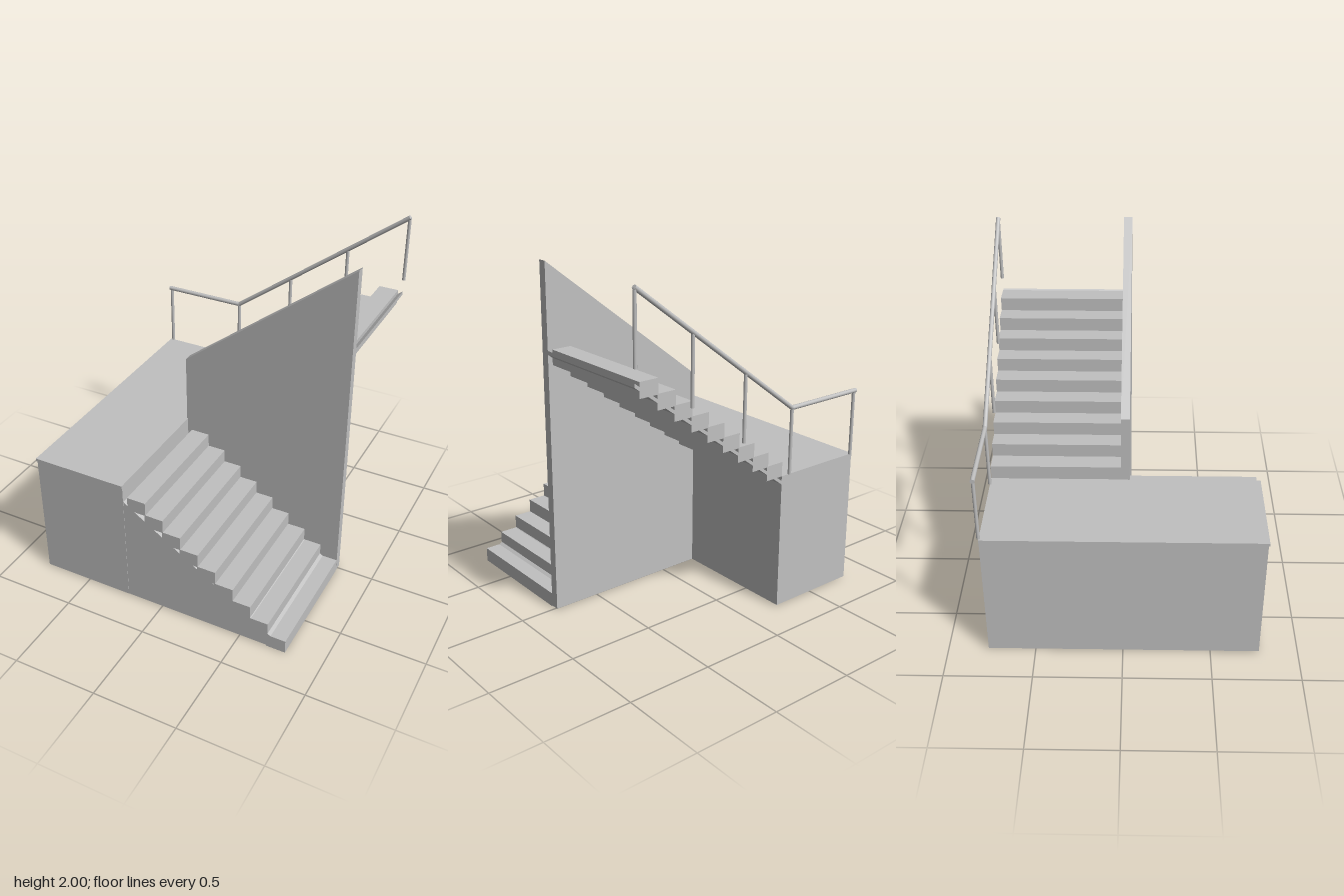
import * as THREE from 'three';

export function createModel() {
  const model = new THREE.Group();
  model.name = 'staircase';
  const grey = new THREE.MeshStandardMaterial({ color: 0xc0c0c0 });
  grey.name = 'plain grey';

  function add(name, geometry, parent = model) {
    const mesh = new THREE.Mesh(geometry, grey);
    mesh.name = name;
    parent.add(mesh);
    return mesh;
  }
  // Box given by its lower and upper limits
  function box(name, x0, x1, y0, y1, z0, z1, parent) {
    const g = new THREE.BoxGeometry(x1 - x0, y1 - y0, z1 - z0);
    g.translate((x0 + x1) / 2, (y0 + y1) / 2, (z0 + z1) / 2);
    return add(name, g, parent);
  }
  // Side profile in x and y, extruded from z0 to z1
  function slab(name, points, z0, z1) {
    const shape = new THREE.Shape(points.map(([x, y]) => new THREE.Vector2(x, y)));
    const g = new THREE.ExtrudeGeometry(shape, { depth: z1 - z0, bevelEnabled: false });
    g.translate(0, 0, z0);
    return add(name, g);
  }
  function bar(name, a, b, radius, parent) {
    const from = new THREE.Vector3(...a), to = new THREE.Vector3(...b);
    const dir = to.clone().sub(from);
    const mesh = add(name, new THREE.CylinderGeometry(radius, radius, dir.length(), 12), parent);
    mesh.position.copy(from).add(to).multiplyScalar(0.5);
    mesh.quaternion.setFromUnitVectors(new THREE.Vector3(0, 1, 0), dir.normalize());
  }

  // Landing block with a slightly wider top edge
  box('landing', -0.788, -0.223, 0.008, 0.785, -0.77, 0.778);
  box('landingTop', -0.793, -0.223, 0.785, 0.803, -0.77, 0.784);

  // Dividing wall with a sloping top
  slab('dividingWall', [[-0.228, 0.008], [0.782, 0.008], [0.782, 2], [-0.228, 1.215]], -0.02, 0.03);

  // Solid base under the lower flight
  slab('lowerFlightBase', [[-0.223, 0.008], [0.78, 0.008], [0.78, 0.025], [-0.223, 0.69]], 0.03, 0.776);

  // Sloping slab under the upper flight
  slab('upperFlightSlab', [[-0.223, 0.755], [0.782, 1.505], [0.782, 1.526], [-0.223, 0.776]], -0.768, -0.02);

  // Steps of both flights
  const lowerSteps = new THREE.Group(), upperSteps = new THREE.Group();
  lowerSteps.name = 'lowerSteps';
  upperSteps.name = 'upperSteps';
  model.add(lowerSteps, upperSteps);
  for (let i = 0; i < 9; i++) {
    const lx = -0.197 + i * 0.108, ly = 0.728 - i * 0.0805;
    box('lowerStep', lx, lx + 0.114, ly - 0.0835, ly, 0.03, 0.776, lowerSteps);
    const ux = -0.225 + i * 0.108, uy = 0.802 + i * 0.0803;
    box('upperStep', ux, ux + 0.115, uy, uy + 0.0845, -0.768, -0.02, upperSteps);
  }

  // Handrail along the open side
  const handrail = new THREE.Group();
  handrail.name = 'handrail';
  model.add(handrail);
  const z = -0.771, bend = [-0.28, 1.188, z], top = [0.783, 1.987, z];
  bar('levelRail', [-0.79, 1.188, z], bend, 0.013, handrail);
  bar('slopingRail', bend, top, 0.013, handrail);
  const slope = (top[1] - bend[1]) / (top[0] - bend[0]);
  for (const x of [-0.775, -0.28, 0.07, 0.427, 0.78]) {
    const y = bend[1] + Math.max(0, x - bend[0]) * slope;
    bar('railPost', [x, y - 0.385, z], [x, y, z], 0.01, handrail);
  }
  return model;
}
